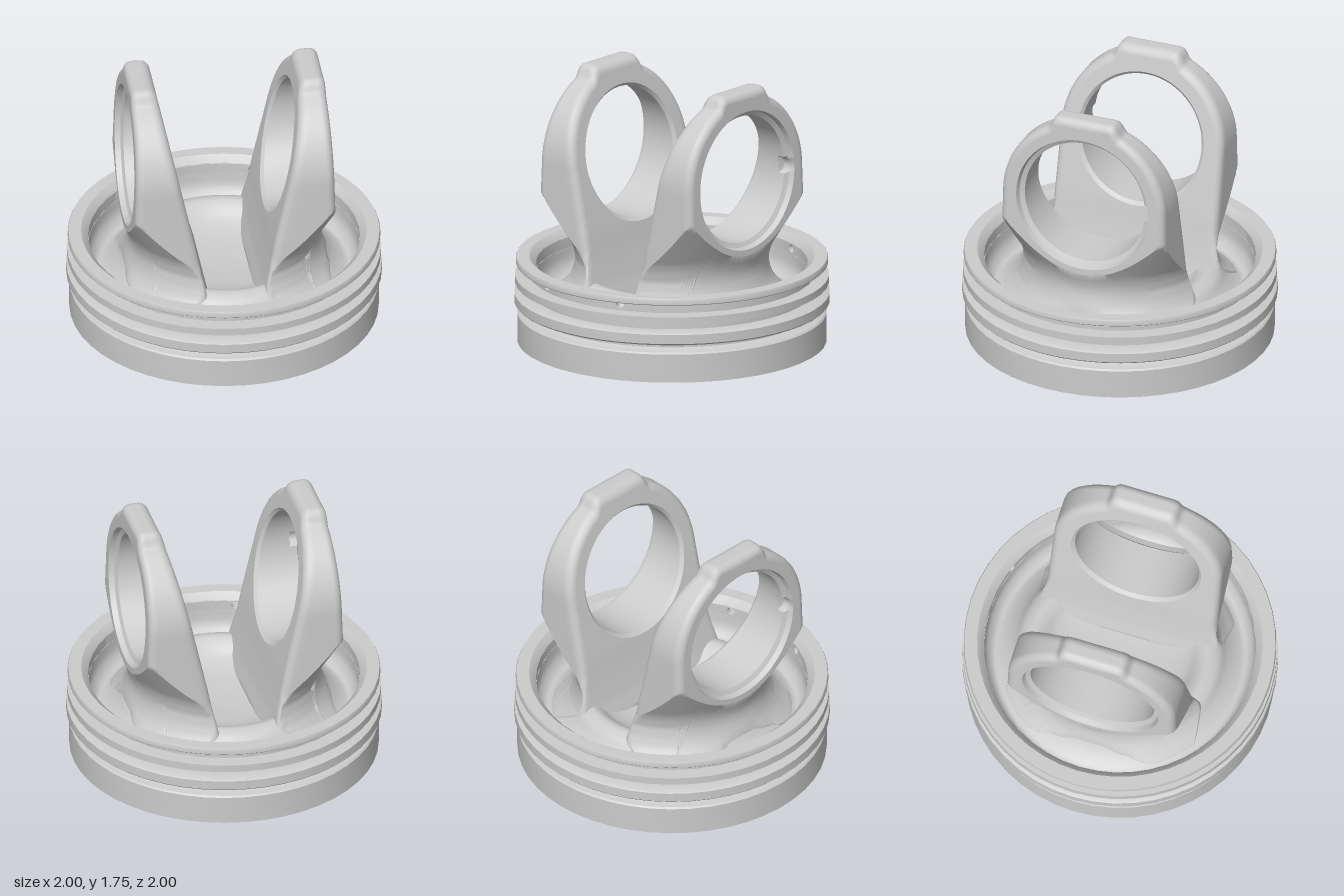
import * as THREE from 'three';
import { toCreasedNormals, mergeGeometries } from 'three/addons/utils/BufferGeometryUtils.js';

const material = new THREE.MeshStandardMaterial({ color: 0xcccccc });
const { lerp, clamp } = THREE.MathUtils;

function addMesh(parent, name, geometry, crease = 0.6) {
  const mesh = new THREE.Mesh(toCreasedNormals(geometry, crease), material);
  mesh.name = name;
  parent.add(mesh);
  return mesh;
}

const vectors = (pairs) => pairs.map(([x, y]) => new THREE.Vector2(x, y));
const smooth = (pairs, n) => new THREE.SplineCurve(vectors(pairs)).getPoints(n);

// Piecewise linear lookup through [input, output] knots
function ramp(knots, v) {
  if (v <= knots[0][0]) return knots[0][1];
  for (let i = 1; i < knots.length; i++) {
    const [a, fa] = knots[i - 1], [b, fb] = knots[i];
    if (v <= b) return lerp(fa, fb, (v - a) / (b - a));
  }
  return knots[knots.length - 1][1];
}

// Crown: bowl with central cone below, ring grooves outside, trough and hub above
function crownGeometry() {
  const cavity = smooth([[0.06, 0.13], [0.2, 0.19], [0.34, 0.24], [0.45, 0.26], [0.58, 0.23], [0.68, 0.13], [0.72, 0]], 24);
  const grooves = vectors([
    [0.98, 0], [0.98, 0.185], [0.97, 0.195], [0.92, 0.2], [0.9, 0.21], [0.9, 0.24],
    [0.99, 0.25], [1, 0.26], [1, 0.32], [0.99, 0.327], [0.9, 0.33], [0.9, 0.385],
    [0.995, 0.387], [0.995, 0.435], [0.9, 0.437],
  ]);
  const trough = smooth([
    [0.86, 0.44], [0.85, 0.35], [0.8, 0.29], [0.74, 0.31], [0.68, 0.36],
    [0.63, 0.42], [0.56, 0.445], [0.5, 0.42], [0.43, 0.36], [0.3, 0.315], [0.1, 0.295],
  ], 44);
  return new THREE.LatheGeometry([
    new THREE.Vector2(0, 0.1), ...cavity, ...grooves, ...trough, new THREE.Vector2(0, 0.295),
  ], 48);
}

// Wall of the top groove, made of panels, four of them with a drain hole
function grooveWallGeometry() {
  const count = 36, half = 0.9 * Math.tan(Math.PI / count);
  const panels = [];
  for (let i = 0; i < count; i++) {
    const shape = new THREE.Shape(vectors([[-half, 0.435], [half, 0.435], [half, 0.515], [-half, 0.515]]));
    if ([2, 16, 20, 34].includes(i)) {
      shape.holes.push(new THREE.Path().absarc(0, 0.477, 0.027, 0, Math.PI * 2, true));
    }
    const panel = new THREE.ExtrudeGeometry(shape, { depth: 0.04, bevelEnabled: false, curveSegments: 10 });
    panels.push(panel.translate(0, 0, 0.86).rotateY((i / count) * Math.PI * 2));
  }
  return mergeGeometries(panels);
}

// Pin boss: a cross-section swept round the pin bore, trimmed by a cone about the y axis
const PIN_Y = 1.17, FILLET = 0.05;
const hubRadius = [[0.28, 0.775], [0.31, 0.75], [0.36, 0.692], [0.42, 0.645], [0.48, 0.622], [0.55, 0.61], [0.62, 0.625], [0.67, 0.645], [0.97, 0.83], [1.2, 1]];
const innerFace = [[0.3, 0.14], [0.36, 0.165], [0.42, 0.185], [0.5, 0.2], [0.57, 0.217], [0.75, 0.25], [1.75, 0.465]];
const outerFace = [[0.66, 0.65], [1.75, 0.62]];

function bossOutline() {
  const a = Math.acos(0.24 / 0.555);
  const shape = new THREE.Shape();
  shape.moveTo(0.63, 0.28);
  shape.lineTo(0.6, 0.44);
  shape.lineTo(0.562, 0.62);
  shape.lineTo(0.555, PIN_Y);
  shape.absarc(0, PIN_Y, 0.555, 0, a);
  shape.lineTo(0.215, 1.72);
  shape.quadraticCurveTo(0.2, 1.75, 0.17, 1.75);
  shape.lineTo(-0.17, 1.75);
  shape.quadraticCurveTo(-0.2, 1.75, -0.215, 1.72);
  shape.absarc(0, PIN_Y, 0.555, Math.PI - a, Math.PI);
  shape.lineTo(-0.562, 0.62);
  shape.lineTo(-0.6, 0.44);
  shape.lineTo(-0.63, 0.28);
  shape.closePath();
  return shape.getSpacedPoints(260).slice(0, -1);
}

// Samples from a to b with one sample exactly on the break
function samples(a, b, breakAt, n) {
  const m = lerp(a, b, clamp((breakAt - a) / (b - a), 0.06, 0.94));
  const out = [];
  for (let i = 0; i <= 2 * n; i++) out.push(i <= n ? lerp(a, m, i / n) : lerp(m, b, i / n - 1));
  return out;
}

// One ray of the sweep: [radius, x] pairs round the section, with samples on the cone's edge
function bossSection(ux, uy, reach) {
  const yAt = (s) => PIN_Y + uy * s;
  const xOut = (s) => ramp(outerFace, yAt(s));
  const xIn = (s) => ramp(innerFace, yAt(s));
  const end = reach - FILLET;

  // Radius where the outer face meets the cone
  let lo = 0.45, hi = end;
  for (let i = 0; i < 24; i++) {
    const s = (lo + hi) / 2;
    if (Math.hypot(xOut(s), ux * s) < ramp(hubRadius, yAt(s))) lo = s;
    else hi = s;
  }
  const section = samples(0.45, end, lo, 8).map((s) => [s, xOut(s)]);
  const fillet = (i) => {
    const t = (i / 4) * Math.PI / 2;
    return [end + FILLET * Math.sin(t), FILLET * (1 - Math.cos(t))];
  };
  for (let i = 1; i < 4; i++) {
    const [s, inset] = fillet(i);
    section.push([s, xOut(s) - inset]);
  }
  const edgeBreak = Math.sqrt(Math.max(0, ramp(hubRadius, yAt(reach)) ** 2 - (ux * reach) ** 2));
  for (const x of samples(xOut(reach) - FILLET, xIn(reach) + FILLET, edgeBreak, 6)) section.push([reach, x]);
  for (let i = 3; i > 0; i--) {
    const [s, inset] = fillet(i);
    section.push([s, xIn(s) + inset]);
  }
  for (const s of samples(end, 0.43, 0.5, 6)) section.push([s, xIn(s)]);

  // Bore with chamfered mouths and a small rounded notch
  const dy = uy * 0.41;
  const notch = ux > 0 && Math.abs(dy) < 0.05 ? 0.045 * Math.sqrt(1 - (dy / 0.05) ** 2) : 0;
  const mouth = xOut(0.41);
  section.push([0.41, xIn(0.41) + 0.02], [0.41, mouth - 0.1], [0.41 + notch, mouth - 0.09],
    [0.41 + notch, mouth - 0.05], [Math.max(0.44, 0.41 + notch), mouth - 0.035]);
  return section;
}

function bossGeometry() {
  const outline = bossOutline(), rows = outline.length;
  const positions = [], index = [];
  let size = 0;
  for (const p of outline) {
    const reach = Math.hypot(p.x, p.y - PIN_Y);
    const ux = p.x / reach, uy = (p.y - PIN_Y) / reach;
    const section = bossSection(ux, uy, reach);
    size = section.length;
    for (const [s, x] of section) {
      const y = PIN_Y + uy * s, z = -ux * s;
      const trim = Math.min(1, ramp(hubRadius, y) / Math.hypot(x, z));
      positions.push(x * trim, y, z * trim);
    }
  }
  for (let j = 0; j < rows; j++) {
    for (let k = 0; k < size; k++) {
      const j2 = (j + 1) % rows, k2 = (k + 1) % size;
      const a = j * size + k, b = j * size + k2, c = j2 * size + k2, d = j2 * size + k;
      index.push(a, b, c, a, c, d);
    }
  }
  const geometry = new THREE.BufferGeometry();
  geometry.setAttribute('position', new THREE.Float32BufferAttribute(positions, 3));
  geometry.setIndex(index);
  return geometry;
}

export function createModel() {
  const model = new THREE.Group();
  model.name = 'piston';

  addMesh(model, 'crown', crownGeometry());
  addMesh(model, 'drainedGrooveWall', grooveWallGeometry(), 0.3);

  // Flange closing the top groove, chamfered inside
  const flange = vectors([[0.86, 0.51], [0.985, 0.51], [0.99, 0.515], [0.99, 0.545], [0.985, 0.555], [0.905, 0.555], [0.862, 0.515], [0.86, 0.51]]);
  addMesh(model, 'topFlange', new THREE.LatheGeometry(flange, 48));

  // The two bosses are half-turn copies of each other
  const boss = bossGeometry();
  addMesh(model, 'leftPinBoss', boss);
  addMesh(model, 'rightPinBoss', boss).rotation.y = Math.PI;

  return model;
}
